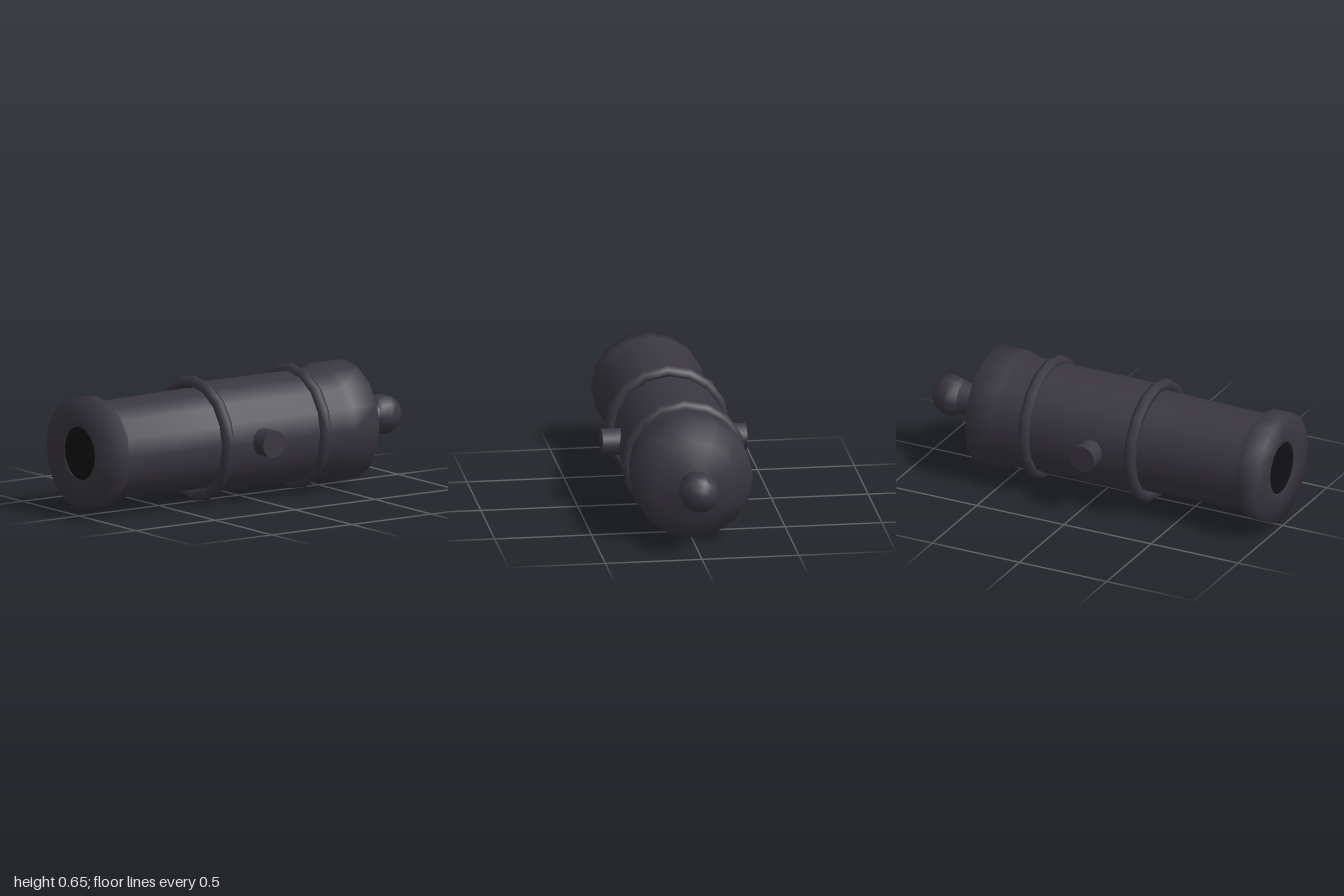
import * as THREE from 'three';

export function createModel() {
  const cannon = new THREE.Group();
  cannon.name = 'cannonBarrel';
  const AXIS = 0.328;
  const SIDES = 16;
  const iron = new THREE.MeshStandardMaterial({ color: 0x3a3740 });
  const dark = new THREE.MeshStandardMaterial({ color: 0x121113 });

  const add = (name, geometry, x, z, material = iron) => {
    const mesh = new THREE.Mesh(geometry, material);
    mesh.name = name;
    mesh.position.set(x, AXIS, z);
    cannon.add(mesh);
    return mesh;
  };

  // Body turned around the bore axis: [radius, z] from breech to muzzle lip
  const profile = [
    [0, -0.76], [0.08, -0.755], [0.21, -0.71], [0.31, -0.665],
    [0.31, -0.52], [0.288, -0.475], [0.288, 0.2], [0.265, 0.24],
    [0.255, 0.855], [0.288, 0.89], [0.288, 1], [0.14, 1], [0.14, 0.98],
  ].map(([r, z]) => new THREE.Vector2(r, z));
  add('barrel', new THREE.LatheGeometry(profile, SIDES).rotateX(Math.PI / 2), 0, 0);

  // Dark opening just inside the muzzle
  add('bore', new THREE.CircleGeometry(0.14, SIDES), 0, 0.99, dark);

  // Reinforcing bands
  for (const [name, z] of [['frontBand', 0.272], ['rearBand', -0.336]]) {
    add(name, new THREE.TorusGeometry(0.293, 0.032, 6, SIDES), 0, z);
  }

  // Side pivots
  for (const [name, side] of [['leftTrunnion', 1], ['rightTrunnion', -1]]) {
    const pivot = new THREE.CylinderGeometry(0.071, 0.071, 0.173, 12).rotateZ(Math.PI / 2);
    add(name, pivot, side * 0.2865, 0.04);
  }

  // Neck and knob behind the breech
  add('knobNeck', new THREE.CylinderGeometry(0.072, 0.086, 0.09, 12).rotateX(Math.PI / 2), 0, -0.785);
  add('knob', new THREE.SphereGeometry(0.106, 10, 8).rotateX(Math.PI / 2), 0, -0.894);

  return cannon;
}
